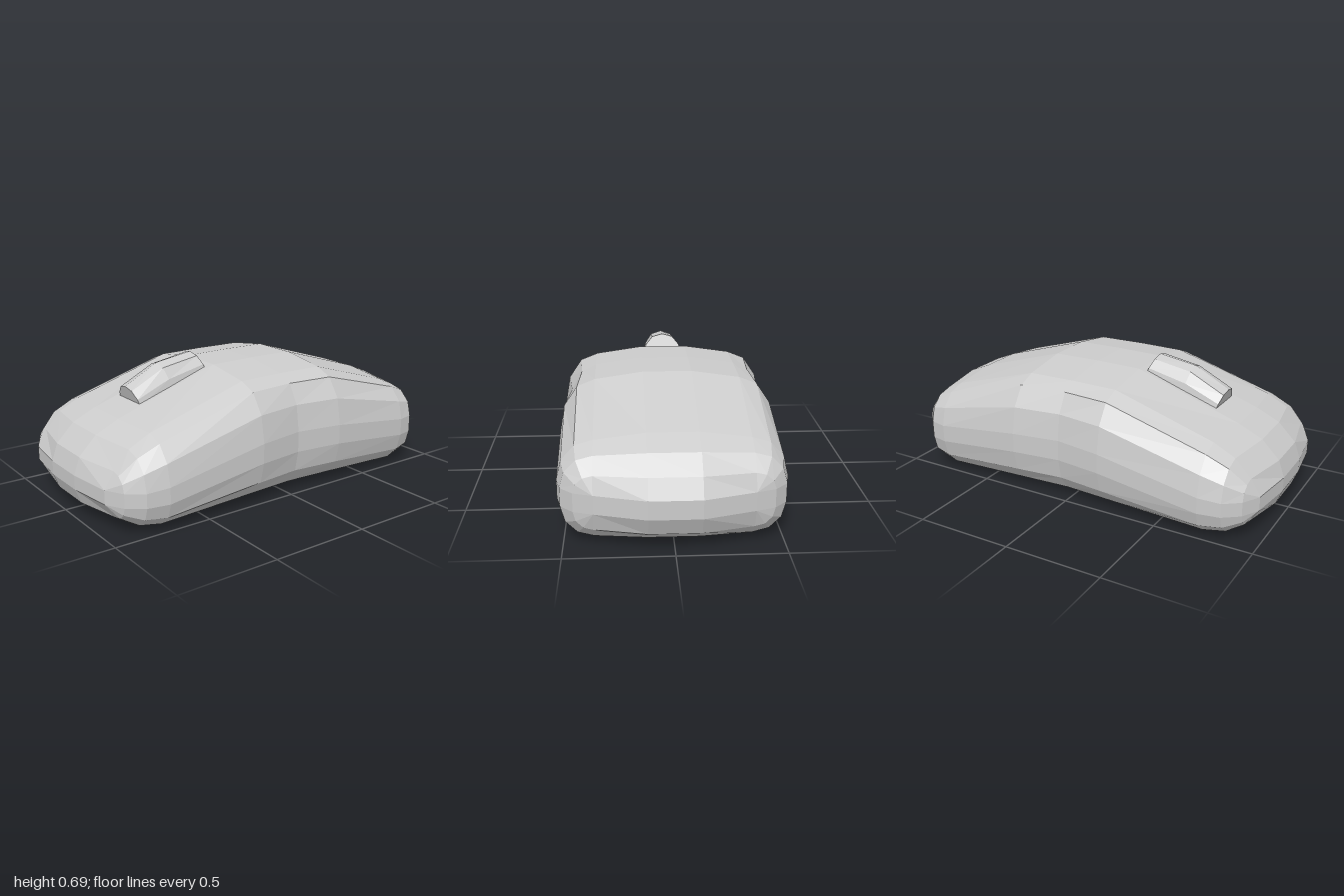
import * as THREE from 'three';

const material = new THREE.MeshStandardMaterial({ color: 0xcccccc, flatShading: true });

// Mirror a half section (+z, bottom to top) into a closed ring.
const mirrorZ = half => [...half, ...half.slice().reverse().map(([x, y, z]) => [x, y, -z])];

// Skin mirrored rings that run along +x, closing both ends with strips.
function loft(rings) {
  const n = rings[0].length, pos = [];
  const same = (p, q) => Math.hypot(p[0] - q[0], p[1] - q[1], p[2] - q[2]) < 1e-5;
  const tri = (a, b, c) => {
    if (!same(a, b) && !same(b, c) && !same(a, c)) pos.push(...a, ...b, ...c);
  };
  const quad = (a, b, c, d) => { tri(a, b, c); tri(a, c, d); };
  for (let s = 0; s < rings.length - 1; s++) {
    const r = rings[s], q = rings[s + 1];
    for (let i = 0; i < n; i++) {
      const j = (i + 1) % n;
      quad(r[i], q[i], q[j], r[j]);
    }
  }
  const h = n / 2, first = rings[0], last = rings[rings.length - 1];
  for (let k = h / 2 - 1; k > -h / 2; k--) {
    const b0 = (k + n) % n, b1 = (k - 1 + n) % n;
    const t0 = h - 1 - k, t1 = h - k;
    quad(last[b0], last[b1], last[t1], last[t0]);
    quad(first[b1], first[b0], first[t0], first[t1]);
  }
  const geometry = new THREE.BufferGeometry();
  geometry.setAttribute('position', new THREE.Float32BufferAttribute(pos, 3));
  geometry.computeVertexNormals();
  return geometry;
}

// Rounded-rectangle section of the shell, slightly crowned in the middle.
function shellRing([x, bulge, yB, yLo, yHi, yT, crown, w]) {
  const inner = 0.36, r = w - inner, half = [[x, yB, 0.12]];
  const edgeTop = yT - crown;
  for (const up of [false, true]) {
    for (let k = 0; k < 4; k++) {
      const a = (up ? k : 3 - k) * Math.PI / 6;
      const y = up ? yHi + (edgeTop - yHi) * Math.sin(a) : yLo - (yLo - yB) * Math.sin(a);
      half.push([x + bulge, y, inner + r * Math.cos(a)]);
    }
  }
  half.push([x, yT, 0.12]);
  return mirrorZ(half);
}

export function createModel() {
  const group = new THREE.Group();
  const add = (name, geometry) => {
    const mesh = new THREE.Mesh(geometry, material);
    mesh.name = name;
    group.add(mesh);
  };

  // Shell: x, end bulge, bottom, lower side, upper side, top, crown, half width
  add('shell', loft([
    [-1.00, 0.03, 0.15, 0.15, 0.22, 0.22, 0, 0.36],
    [-0.97, 0.05, 0.075, 0.15, 0.22, 0.305, 0.005, 0.45],
    [-0.88, 0.04, 0.025, 0.15, 0.22, 0.395, 0.01, 0.51],
    [-0.76, 0.03, 0.005, 0.15, 0.23, 0.45, 0.01, 0.53],
    [-0.21, 0, 0.02, 0.23, 0.33, 0.635, 0.035, 0.54],
    [0.03, 0, 0.02, 0.23, 0.335, 0.638, 0.035, 0.51],
    [0.28, 0, 0.02, 0.23, 0.33, 0.635, 0.035, 0.54],
    [0.75, 0, 0.005, 0.18, 0.27, 0.49, 0.03, 0.53],
    [0.87, -0.03, 0.03, 0.18, 0.27, 0.44, 0.02, 0.51],
    [0.955, -0.055, 0.09, 0.18, 0.27, 0.36, 0.01, 0.45],
    [1.00, -0.07, 0.18, 0.18, 0.27, 0.27, 0, 0.36],
  ].map(shellRing)));

  // Scroll wheel: base x, base y, crest x, crest y at each station
  const arc = [[0.1, -0.3], [0.09, 0.22], [0.055, 0.8], [0, 1]];
  add('scrollWheel', loft([
    [-0.63, 0.50, -0.65, 0.565],
    [-0.45, 0.57, -0.47, 0.66],
    [-0.245, 0.62, -0.27, 0.69],
  ].map(([bx, by, cx, cy]) =>
    mirrorZ(arc.map(([z, t]) => [bx + (cx - bx) * t, by + (cy - by) * t, z])))));

  return group;
}
